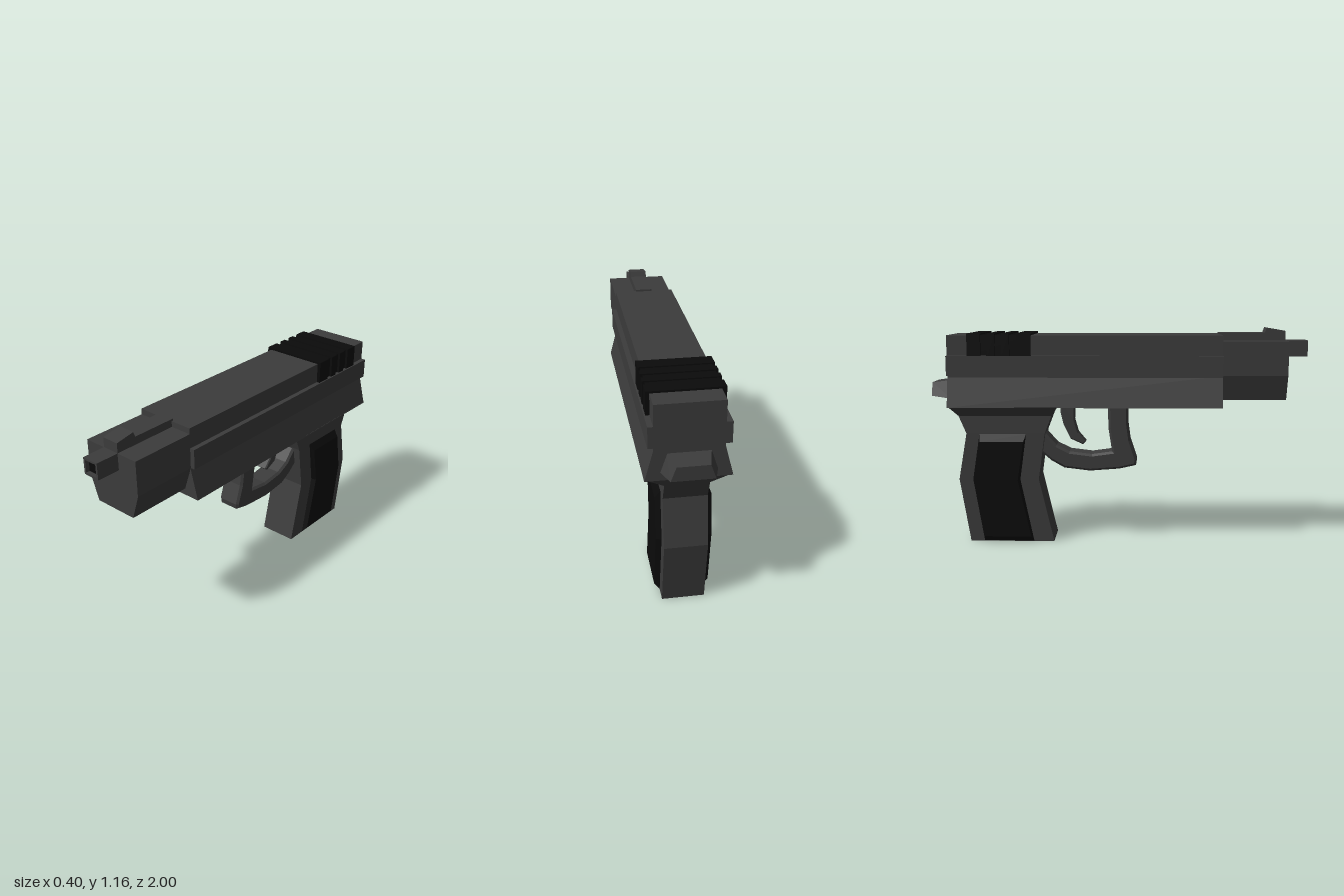
import * as THREE from 'three';

const body = new THREE.MeshStandardMaterial({ color: 0x3c3c3c, flatShading: true });
const black = new THREE.MeshStandardMaterial({ color: 0x0b0b0b, flatShading: true });

function add(parent, name, geometry, material = body) {
  const mesh = new THREE.Mesh(geometry, material);
  mesh.name = name;
  parent.add(mesh);
  return mesh;
}

// Box given by its limits on each axis
function box(x0, x1, y0, y1, z0, z1) {
  return new THREE.BoxGeometry(x1 - x0, y1 - y0, z1 - z0)
    .translate((x0 + x1) / 2, (y0 + y1) / 2, (z0 + z1) / 2);
}

const toShape = (pts) => new THREE.Shape(pts.map(([a, b]) => new THREE.Vector2(a, b)));

// Front outline (x, y) pushed from z0 to z1
function alongZ(shape, z0, z1) {
  return new THREE.ExtrudeGeometry(shape, { depth: z1 - z0, bevelEnabled: false }).translate(0, 0, z0);
}

// Side outline (z, y) pushed across x, centred, with an optional chamfer
function acrossX(pts, halfWidth, bevel = 0) {
  const depth = 2 * (halfWidth - bevel);
  return new THREE.ExtrudeGeometry(toShape(pts), {
    depth, bevelEnabled: bevel > 0, bevelThickness: bevel, bevelSize: bevel,
    bevelOffset: -bevel, bevelSegments: 1,
  }).translate(0, 0, -depth / 2).rotateY(-Math.PI / 2);
}

// Capped skin over rings of points, each counter-clockwise about the loft direction
function loft(rings) {
  const n = rings[0].length, last = (rings.length - 1) * n, index = [];
  for (let r = 0; r < last; r += n) {
    for (let i = 0; i < n; i++) {
      const j = (i + 1) % n;
      index.push(r + i, r + j, r + n + j, r + i, r + n + j, r + n + i);
    }
  }
  for (let i = 1; i < n - 1; i++) {
    index.push(0, i + 1, i, last, last + i, last + i + 1);
  }
  const g = new THREE.BufferGeometry();
  g.setAttribute('position', new THREE.Float32BufferAttribute(rings.flat(2), 3));
  g.setIndex(index);
  const flat = g.toNonIndexed();
  flat.computeVertexNormals();
  return flat;
}

export function createModel() {
  const model = new THREE.Group();
  model.name = 'pistol';

  // Slide, side rails and the flared lower frame
  add(model, 'slide', box(-0.16, 0.16, 0.9, 1.12, -0.9, 0.54));
  for (const [name, x0, x1] of [['rightRail', -0.19, -0.15], ['leftRail', 0.15, 0.185]]) {
    add(model, name, box(x0, x1, 0.91, 1.015, -0.9, 0.54));
  }
  add(model, 'frame', alongZ(toShape([[-0.2, 0.745], [0.2, 0.745], [0.157, 0.91], [-0.157, 0.91]]), -0.9, 0.54));

  // Front housing with chamfered lower sides
  add(model, 'frontHousing', alongZ(toShape([
    [-0.117, 0.78], [0.117, 0.78], [0.16, 0.91], [0.16, 1.09], [-0.16, 1.09], [-0.16, 0.91],
  ]), 0.53, 0.88));

  // Top rib rising into the front sight
  add(model, 'frontSight', acrossX([
    [0.53, 1.08], [0.879, 1.08], [0.879, 1.14], [0.78, 1.157], [0.77, 1.13], [0.53, 1.13],
  ], 0.045));

  // Square muzzle with a dark bore
  const muzzle = toShape([[-0.045, 1.005], [0.045, 1.005], [0.045, 1.09], [-0.045, 1.09]]);
  muzzle.holes.push(new THREE.Path([[-0.034, 1.015], [-0.034, 1.08], [0.034, 1.08], [0.034, 1.015]]
    .map(([x, y]) => new THREE.Vector2(x, y))));
  add(model, 'muzzle', alongZ(muzzle, 0.87, 1));
  add(model, 'bore', box(-0.036, 0.036, 1.013, 1.082, 0.87, 0.98), black);

  // Grip serrations wrapped over the slide
  const serrations = new THREE.Group();
  serrations.name = 'serrations';
  model.add(serrations);
  add(serrations, 'serrationBase', box(-0.17, 0.165, 1.012, 1.123, -0.785, -0.465), black);
  for (const [z0, z1] of [[-0.535, -0.46], [-0.61, -0.57], [-0.685, -0.645], [-0.79, -0.72]]) {
    add(serrations, 'serrationTooth', box(-0.183, 0.178, 1.01, 1.13, z0, z1), black);
  }

  // Tapered tab at the rear
  const tabRing = (z, bottom, top, y0, y1) => [[-bottom, y0, z], [bottom, y0, z], [top, y1, z], [-top, y1, z]];
  add(model, 'rearTab', loft([
    tabRing(-1, 0.1, 0.075, 0.797, 0.867),
    tabRing(-0.89, 0.132, 0.1, 0.785, 0.882),
  ]));

  // Bent grip, flaring out to the frame: y, half width, front z, back z
  add(model, 'grip', loft([
    [0, 0.105, -0.355, -0.81],
    [0.345, 0.105, -0.435, -0.865],
    [0.595, 0.105, -0.4, -0.82],
    [0.69, 0.105, -0.363, -0.86],
    [0.75, 0.2, -0.325, -0.895],
  ].map(([y, w, f, b]) => [[w, y, f], [w, y, b], [-w, y, b], [-w, y, f]])));

  // Black grip panels with bevelled rims
  const rim = [[-0.535, 0.345], [-0.465, 0.003], [-0.735, 0.003], [-0.79, 0.345], [-0.75, 0.592], [-0.5, 0.592]];
  const face = [[-0.545, 0.345], [-0.477, 0.035], [-0.73, 0.035], [-0.78, 0.345], [-0.745, 0.555], [-0.512, 0.555]];
  const panelRing = (pts, x) => pts.map(([z, y]) => [x, y, z]);
  add(model, 'leftGripPanel', loft([panelRing(rim, 0.1), panelRing(rim, 0.107), panelRing(face, 0.132)]), black);
  add(model, 'rightGripPanel', loft([panelRing(face, -0.139), panelRing(rim, -0.107), panelRing(rim, -0.1)]), black);

  // Trigger guard
  add(model, 'triggerGuard', acrossX([
    [0.048, 0.76], [0.048, 0.64], [0.06, 0.55], [0.095, 0.445], [0.09, 0.415], [0, 0.395], [-0.16, 0.383],
    [-0.3, 0.4], [-0.37, 0.44], [-0.44, 0.5], [-0.44, 0.62], [-0.4, 0.59], [-0.34, 0.525], [-0.27, 0.49],
    [-0.15, 0.475], [-0.04, 0.49], [-0.06, 0.62], [-0.062, 0.76],
  ], 0.065, 0.012));

  // Curved trigger
  add(model, 'trigger', acrossX([
    [-0.24, 0.76], [-0.245, 0.66], [-0.225, 0.59], [-0.183, 0.54], [-0.2, 0.525],
    [-0.265, 0.555], [-0.305, 0.635], [-0.32, 0.7], [-0.32, 0.76],
  ], 0.035, 0.006));

  return model;
}
